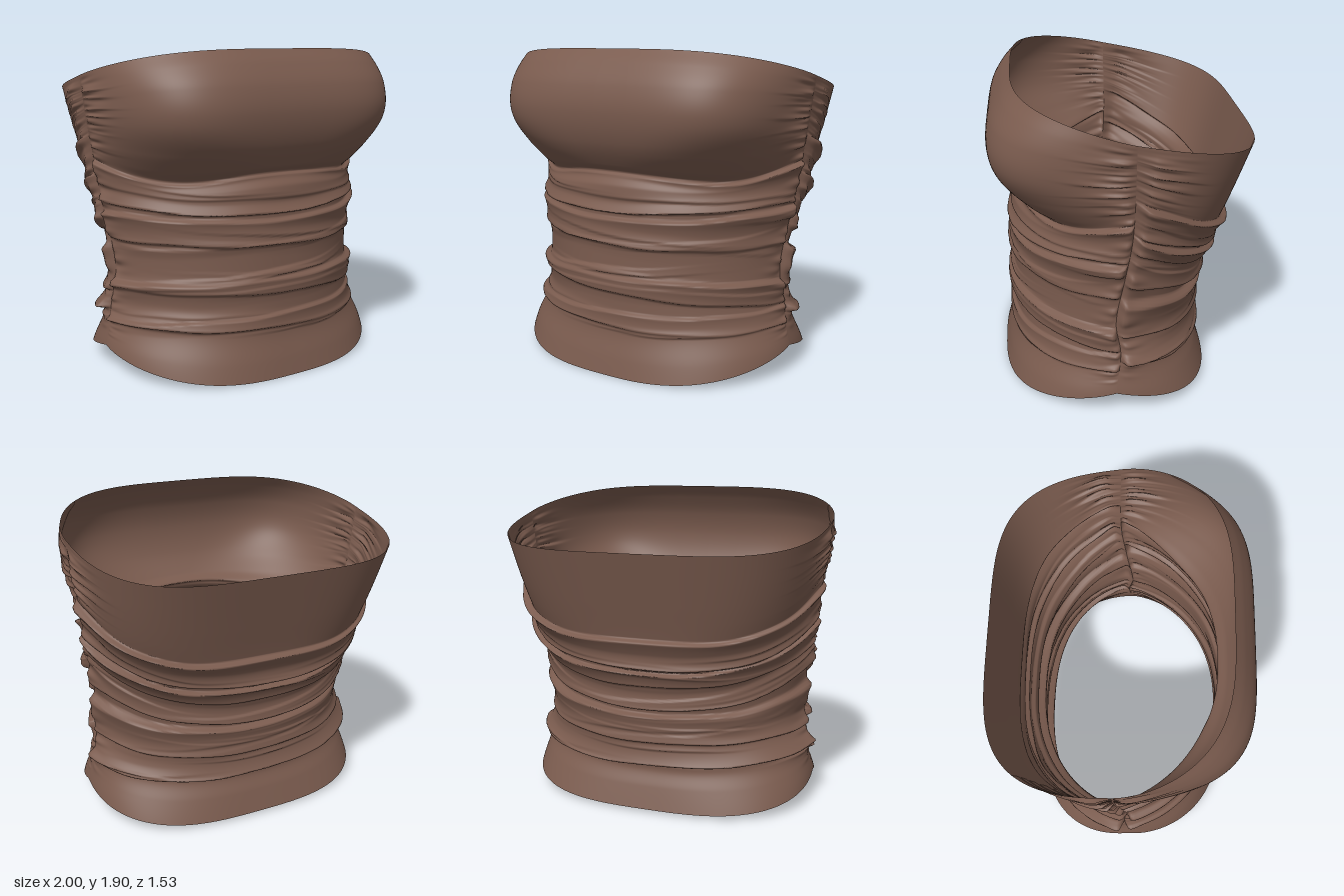
import * as THREE from 'three';

const COLS = 90, ROWS = 250;

// Smooth curve through [t, value] pairs
function curve(pts) {
  const slope = pts.map((p, i) => {
    const a = pts[Math.max(i - 1, 0)], b = pts[Math.min(i + 1, pts.length - 1)];
    return (b[1] - a[1]) / (b[0] - a[0]);
  });
  return (t) => {
    let i = 0;
    while (i < pts.length - 2 && t > pts[i + 1][0]) i++;
    const [t0, a] = pts[i], [t1, b] = pts[i + 1], w = t1 - t0;
    const k = Math.min(Math.max((t - t0) / w, 0), 1), k2 = k * k, k3 = k2 * k;
    return a * (2 * k3 - 3 * k2 + 1) + slope[i] * w * (k3 - 2 * k2 + k)
      + b * (3 * k2 - 2 * k3) + slope[i + 1] * w * (k3 - k2);
  };
}

function seeded(seed) {
  return () => {
    seed = (seed * 16807) % 2147483647;
    return seed / 2147483647;
  };
}

// Shared side seams: half width and depth by height
const halfWidth = curve([[0, 0.93], [0.15, 0.912], [0.3, 0.872], [0.6, 0.832], [0.8, 0.845],
  [1, 0.878], [1.2, 0.903], [1.5, 0.952], [1.75, 0.985], [1.9, 0.99]]);
const seamDepth = curve([[0, 0.07], [0.16, 0.07], [0.4, 0.04], [0.6, 0.065], [0.9, 0.02],
  [1.2, -0.02], [1.75, -0.025]]);

// depth: centre profile by level; seam: height each level reaches at the side seam;
// flat and bow: plan exponents across x and z; folds: [level, size, reach, tilt],
// where a negative reach puts the lip at the top
const FRONT = {
  side: 1, top: 1.9, seed: 77, gather: 0.004,
  depth: curve([[0, 0.73], [0.1, 0.705], [0.25, 0.665], [0.5, 0.655], [0.75, 0.645], [1, 0.64],
    [1.12, 0.63], [1.19, 0.585], [1.24, 0.645], [1.38, 0.73], [1.55, 0.765], [1.7, 0.74],
    [1.82, 0.675], [1.9, 0.61]]),
  seam: curve([[0, 0.16], [0.27, 0.29], [0.6, 0.58], [0.77, 0.78], [0.96, 1], [1.19, 1.27],
    [1.9, 1.75]]),
  flat: curve([[0, 2.8], [0.4, 2.25], [1, 2.25], [1.19, 2.2], [1.32, 3.4], [1.5, 4.6], [1.7, 4.4], [1.9, 3.6]]),
  bow: curve([[0, 1.7], [0.4, 1.5], [1, 1.5], [1.19, 1.45], [1.32, 1.75], [1.5, 2], [1.7, 1.95], [1.9, 1.75]]),
  folds: [[0.28, 0.025, 0.12, 0.01], [0.375, 0.02, -0.1, -0.03], [0.48, 0.02, 0.12, 0.04],
    [0.595, 0.045, -0.16, 0], [0.77, 0.03, 0.14, 0.01], [0.95, 0.045, -0.14, -0.01],
    [0.972, 0.035, 0.07, 0], [1.04, 0.015, 0.12, 0.015], [1.195, 0.04, -0.13, 0]],
  bareFrom: 1.2,
};
const BACK = {
  side: -1, top: 1.6, seed: 4242, gather: 0.018,
  depth: curve([[0.02, 0.565], [0.15, 0.52], [0.26, 0.48], [0.45, 0.52], [0.63, 0.51],
    [0.8, 0.565], [1, 0.605], [1.1, 0.625], [1.3, 0.68], [1.6, 0.765]]),
  seam: curve([[0.02, 0.16], [0.3, 0.38], [0.52, 0.6], [0.64, 0.87], [0.88, 1.17], [1.1, 1.42],
    [1.6, 1.75]]),
  flat: curve([[0.02, 3], [0.25, 2.4], [0.6, 2.3], [0.9, 2.7], [1.2, 3.6], [1.6, 4.2]]),
  bow: curve([[0.02, 2.3], [0.25, 1.9], [0.6, 1.8], [0.9, 2.1], [1.2, 2.5], [1.6, 2.75]]),
  folds: [[0.275, 0.07, 0.14, 0.01], [0.43, 0.03, 0.1, -0.01], [0.61, 0.055, -0.14, 0],
    [0.645, 0.055, 0.12, 0.01], [0.79, 0.025, 0.09, -0.015], [0.9, 0.055, -0.11, 0],
    [0.905, 0.035, 0.1, 0], [1.1, 0.05, -0.16, 0]],
  bareFrom: 1.1,
};

// Outward push of one fold: steep lip, slow fade
function lip(t) {
  if (t <= 0 || t >= 1) return 0;
  return t < 0.14 ? THREE.MathUtils.smoothstep(t, 0, 0.14) : ((1 - t) / 0.86) ** 1.5;
}

// Main folds run the whole width, small creases fade out from a random spot
function makeFolds(p) {
  const rnd = seeded(p.seed);
  const folds = p.folds.map(([level, size, reach, tilt]) => ({
    level, size, reach, tilt, at: 0, spread: 100, phase: rnd() * 6.3,
  }));
  for (let i = 0; i < 20; i++) {
    folds.push({
      level: 0.25 + rnd() * (p.bareFrom - 0.35), size: 0.006 + rnd() * 0.01,
      reach: (rnd() < 0.5 ? -1 : 1) * (0.05 + rnd() * 0.05),
      at: (rnd() - 0.5) * 3, spread: 0.3 + rnd() * 0.4, tilt: (rnd() - 0.5) * 0.12, phase: rnd() * 6.3,
    });
  }
  // Short gathers beside the seams of the smooth upper band
  for (let i = 0; i < 14; i++) {
    const s = i % 2 ? 1 : -1;
    folds.push({
      level: p.bareFrom + 0.05 + (i / 14) * (p.top - p.bareFrom - 0.15), size: 0.01 + rnd() * 0.01,
      reach: 0.07 + rnd() * 0.05, at: s * 1.5, spread: 0.2 + rnd() * 0.15,
      tilt: (rnd() - 0.5) * 0.06, phase: rnd() * 6.3,
    });
  }
  return folds;
}

function makePanel(p, name, material) {
  const folds = makeFolds(p), pos = [], index = [];
  const low = p.side > 0 ? 0 : 0.02;
  for (let r = 0; r <= ROWS; r++) {
    const h = low + (p.top - low) * r / ROWS;
    const flat = p.flat(h), bow = p.bow(h);
    // Hem and upper rim stay clean
    const calm = THREE.MathUtils.smoothstep(h, 0.1, 0.28)
      * (1 - THREE.MathUtils.smoothstep(h, p.top - 0.09, p.top));
    for (let c = 0; c <= COLS; c++) {
      const a = Math.PI * c / COLS, u = a - Math.PI / 2;
      const cx = Math.cos(a), sz = Math.max(Math.sin(a), 0);
      const planX = Math.sign(cx) * Math.abs(cx) ** (2 / flat), planZ = sz ** (2 / bow);
      const edge = Math.min(a, Math.PI - a);

      let push = 0;
      for (const f of folds) {
        const wander = f.tilt * u + 0.008 * Math.sin(2.3 * u + f.phase) + 0.003 * Math.sin(9 * u + f.phase * 3);
        const fade = Math.exp(-(((u - f.at) / f.spread) ** 2));
        const vary = 0.8 + 0.2 * Math.sin(1.7 * u + f.phase * 2);
        push += f.size * fade * vary * lip((h - f.level - wander) / f.reach);
      }
      // Puckers gathered along the seam
      const pucker = Math.exp(-((edge / 0.22) ** 2));
      push += pucker * (p.gather + 0.007 * Math.sin(h * 47 + Math.sign(cx) + edge * 6)
        + 0.005 * Math.sin(h * 83 + 2 - edge * 9) + 0.003 * Math.sin(h * 131));
      push *= calm * (1 - Math.exp(-((edge / 0.05) ** 2)));

      // Levels slope from the panel centre towards the seam
      let y = h + (p.seam(h) - h) * (1 - planZ);
      if (p.side > 0) y -= 0.06 * Math.sin(2 * a) ** 2 * Math.exp(-(((h - 1.18) / 0.1) ** 2));
      const zs = seamDepth(y);
      const x = halfWidth(y) * planX + push * cx;
      const z = zs + (p.side * p.depth(h) - zs) * planZ + p.side * push * sz;
      pos.push(x, y, z);
    }
  }
  const w = COLS + 1;
  for (let r = 0; r < ROWS; r++) {
    for (let c = 0; c < COLS; c++) {
      const i = r * w + c, j = i + 1, k = i + w, l = k + 1;
      if (p.side > 0) index.push(i, k, j, j, k, l);
      else index.push(i, j, k, j, l, k);
    }
  }
  const geometry = new THREE.BufferGeometry();
  geometry.setAttribute('position', new THREE.Float32BufferAttribute(pos, 3));
  geometry.setIndex(index);
  geometry.computeVertexNormals();
  const mesh = new THREE.Mesh(geometry, material);
  mesh.name = name;
  return mesh;
}

export function createModel() {
  const fabric = new THREE.MeshStandardMaterial({ color: 0x7a5b4e, side: THREE.DoubleSide });
  fabric.name = 'brown fabric';
  const group = new THREE.Group();
  group.name = 'strapless ruched top';
  group.add(makePanel(FRONT, 'frontPanel', fabric), makePanel(BACK, 'backPanel', fabric));
  return group;
}
